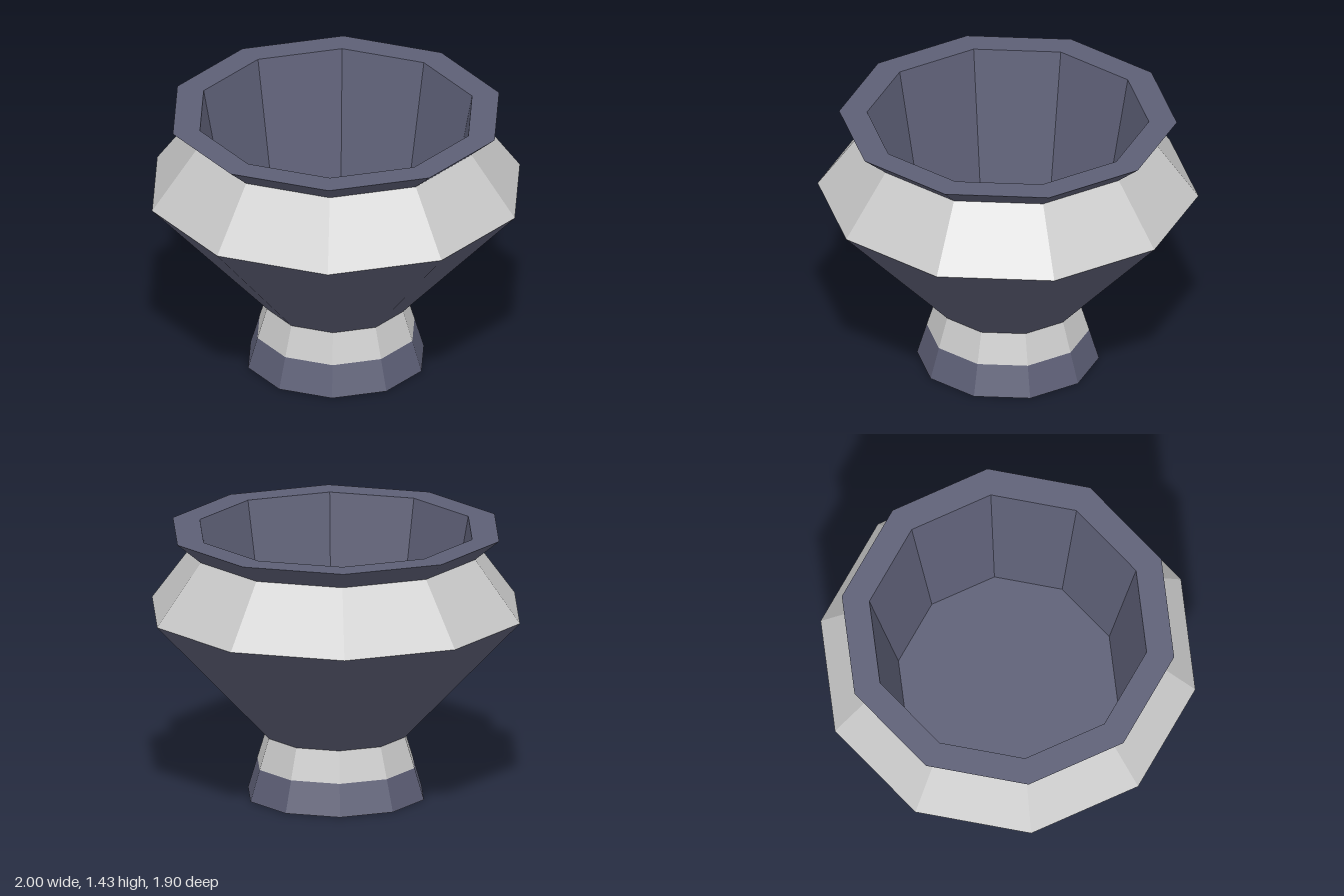
import * as THREE from 'three';

const SIDES = 10;
const grey = new THREE.MeshStandardMaterial({ color: 0xcccccc, flatShading: true });
const slate = new THREE.MeshStandardMaterial({ color: 0x5d5f76, flatShading: true });

// One faceted ring of the bowl, turned from [radius, height] points with a corner on +x
function band(name, material, points) {
  const profile = points.map(([r, y]) => new THREE.Vector2(r, y));
  const mesh = new THREE.Mesh(new THREE.LatheGeometry(profile, SIDES, Math.PI / 2), material);
  mesh.name = name;
  return mesh;
}

export function createModel() {
  const bowl = new THREE.Group();
  bowl.name = 'footedBowl';

  bowl.add(
    // Foot: closed underside and lower band, then a pale upper band
    band('footBase', slate, [[0, 0], [0.478, 0], [0.427, 0.168]]),
    band('footNeck', grey, [[0.427, 0.168], [0.376, 0.333]]),
    // Body: flaring lower part and pale shoulder
    band('lowerBody', slate, [[0.376, 0.333], [1, 0.995]]),
    band('shoulder', grey, [[1, 0.995], [0.757, 1.325]]),
    // Rim flares out, with a flat lip
    band('rim', slate, [[0.757, 1.325], [0.887, 1.433], [0.74, 1.433]]),
    // Hollow: tapered inner wall and flat floor
    band('innerWall', slate, [[0.74, 1.433], [0.585, 0.6]]),
    band('innerFloor', slate, [[0.585, 0.6], [0, 0.6]]),
  );
  return bowl;
}
